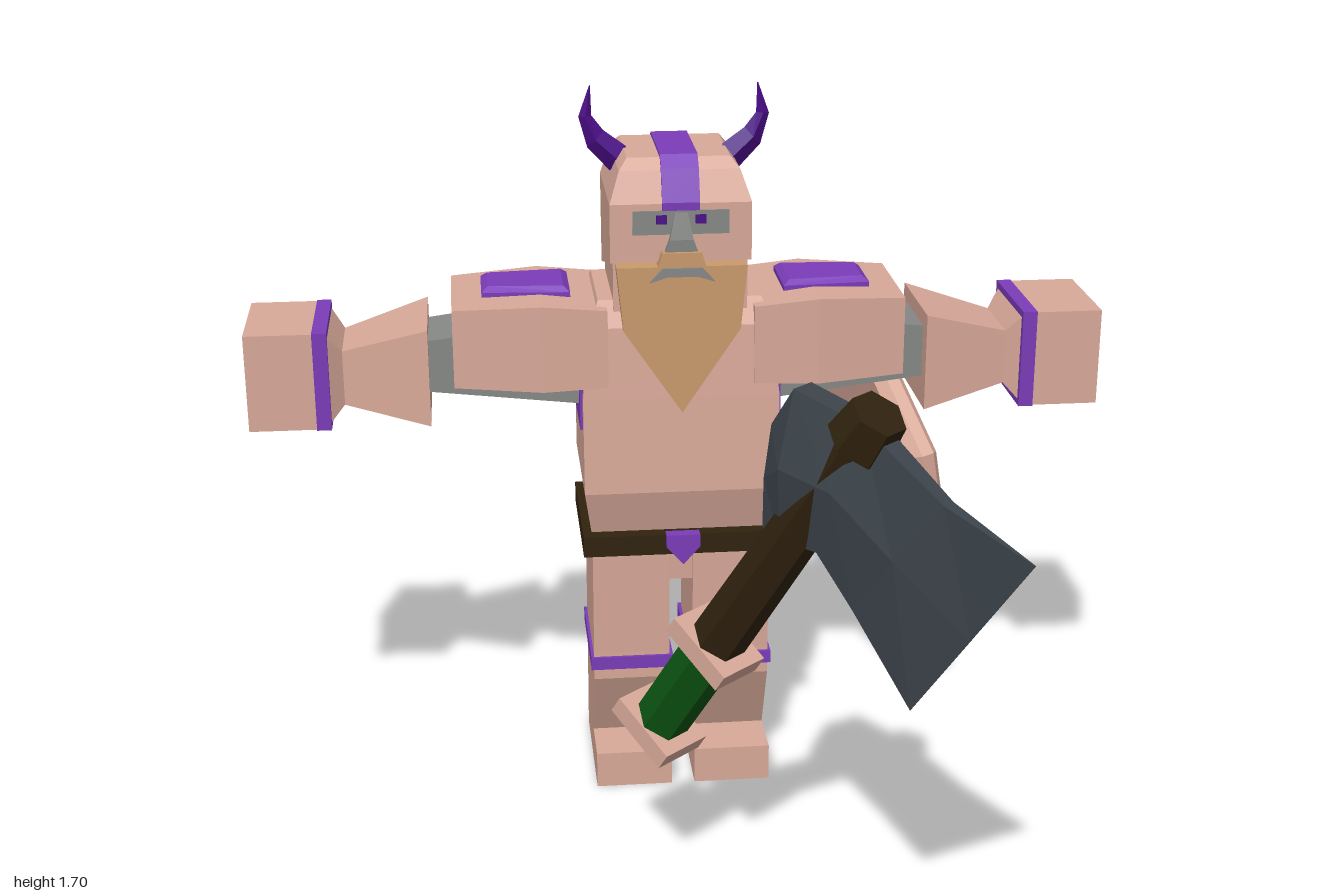
import * as THREE from 'three';

const mat = (name, color) => Object.assign(new THREE.MeshStandardMaterial({ color, flatShading: true }), { name });
const skin = mat('skin', 0xd8a999), purple = mat('purple', 0x7a3cb8), horn = mat('dark purple', 0x4a0d86);
const green = mat('green', 0x228f14), grip = mat('dark green', 0x0c5412), brown = mat('dark brown', 0x30220e);
const steel = mat('dark steel', 0x3c444b), grey = mat('grey', 0x868886), tan = mat('tan', 0xc99a6c);

// Closed solid through matching cross-sections; corners are turned outward by the sign of the volume
function loft(rings) {
  const tris = [], n = rings[0].length;
  for (let r = 0; r < rings.length - 1; r++) {
    const a = rings[r], b = rings[r + 1];
    for (let i = 0; i < n; i++) {
      const j = (i + 1) % n;
      tris.push([a[i], a[j], b[j]], [a[i], b[j], b[i]]);
    }
  }
  const first = rings[0], last = rings[rings.length - 1];
  for (let i = 1; i < n - 1; i++) tris.push([first[0], first[i + 1], first[i]], [last[0], last[i], last[i + 1]]);
  let volume = 0;
  for (const [a, b, c] of tris) {
    volume += a[0] * (b[1] * c[2] - b[2] * c[1]) + a[1] * (b[2] * c[0] - b[0] * c[2]) + a[2] * (b[0] * c[1] - b[1] * c[0]);
  }
  if (volume < 0) tris.forEach((t) => t.reverse());
  const g = new THREE.BufferGeometry();
  g.setAttribute('position', new THREE.Float32BufferAttribute(tris.flat(2), 3));
  g.computeVertexNormals();
  return g;
}
// Rectangle across y: half width, front z, back z, with an optional different y at the back
const slab = (y, w, zf, zb, yb = y) => [[w, y, zf], [w, yb, zb], [-w, yb, zb], [-w, y, zf]];
// Rectangle across x
const slice = (x, y0, y1, zf, zb) => [[x, y0, zf], [x, y0, zb], [x, y1, zb], [x, y1, zf]];
const outline = (pts) => new THREE.Shape(pts.map(([x, y]) => new THREE.Vector2(x, y)));
const plate = (pts, depth) => new THREE.ExtrudeGeometry(outline(pts), { depth, bevelEnabled: false });
// Side profile in (z, y), extruded along x from x0 to x1
const sideProfile = (pts, x0, x1) =>
  plate(pts.map(([z, y]) => [-z, y]), x1 - x0).rotateY(Math.PI / 2).translate(x0, 0, 0);

function add(parent, name, geometry, material, x = 0, y = 0, z = 0) {
  const m = new THREE.Mesh(geometry, material);
  m.name = name;
  m.position.set(x, y, z);
  parent.add(m);
  return m;
}
function group(parent, name) {
  const g = new THREE.Group();
  g.name = name;
  parent.add(g);
  return g;
}
const box = (w, h, d) => new THREE.BoxGeometry(w, h, d);

function buildBody(root) {
  const g = group(root, 'body');
  add(g, 'torso', loft([
    slab(0.63, 0.21, -0.22, -0.51), slab(0.77, 0.23, -0.178, -0.53), slab(1.0, 0.23, -0.19, -0.53),
    slab(1.17, 0.21, -0.2, -0.53), slab(1.23, 0.19, -0.23, -0.49)]), skin);
  add(g, 'hips', loft([slab(0.53, 0.2, -0.215, -0.495), slab(0.63, 0.205, -0.21, -0.505)]), skin);
  add(g, 'belt', box(0.47, 0.05, 0.37), brown, 0, 0.637, -0.36);
  add(g, 'buckle', plate([[-0.04, 0.67], [-0.04, 0.64], [0, 0.595], [0.04, 0.64], [0.04, 0.67]], 0.03), purple, 0, 0, -0.18);
}

function buildLeg(root, s) {
  const g = group(root, s > 0 ? 'leftLeg' : 'rightLeg');
  const x0 = s > 0 ? 0.028 : -0.213, x1 = x0 + 0.185;
  add(g, 'legAndFoot', sideProfile([
    [-0.165, 0], [-0.165, 0.09], [-0.3, 0.09], [-0.215, 0.27], [-0.215, 0.34], [-0.205, 0.61],
    [-0.505, 0.61], [-0.495, 0.3], [-0.52, 0]], x0, x1), skin);
  add(g, 'kneeBand', box(0.2, 0.032, 0.305), purple, s * 0.12, 0.314, -0.36);
}

function buildArm(root, s) {
  const g = group(root, s > 0 ? 'leftArm' : 'rightArm');
  add(g, 'upperArm', loft([
    slice(s * 0.2, 0.97, 1.18, -0.25, -0.47), slice(s * 0.6, 1.01, 1.13, -0.27, -0.46)]), grey);
  add(g, 'shoulderGuard', loft([
    slice(s * 0.17, 1.03, 1.215, -0.19, -0.535), slice(s * 0.32, 1.025, 1.23, -0.185, -0.535),
    slice(s * 0.525, 1.035, 1.22, -0.21, -0.507)]), skin);
  const pad = (y, k) => [[s * (0.25 + k), y, -0.285 - k], [s * (0.455 - k), y, -0.3 - k],
    [s * (0.455 - k), y, -0.445 + k], [s * (0.25 + k), y, -0.46 + k]];
  add(g, 'shoulderPad', loft([pad(1.2, 0), pad(1.235, 0), pad(1.247, 0.015)]), purple);
  add(g, 'armpitTrim', box(0.008, 0.12, 0.26), purple, s * 0.232, 0.98, -0.345);
  add(g, 'cuff', loft([
    slice(s * 0.582, 0.938, 1.17, -0.225, -0.505), slice(s * 0.78, 0.985, 1.115, -0.265, -0.45),
    slice(s * 0.82, 0.943, 1.167, -0.23, -0.49)]), skin);
  add(g, 'wristBand', box(0.034, 0.234, 0.274), purple, s * 0.828, 1.055, -0.36);
  add(g, 'fist', box(0.158, 0.23, 0.27), skin, s * 0.921, 1.055, -0.36);
}

function buildHead(root) {
  const g = group(root, 'head');
  add(g, 'face', box(0.31, 0.16, 0.275), skin, 0, 1.26, -0.355);
  add(g, 'helmet', loft([
    slab(1.325, 0.162, -0.2, -0.51, 1.245), slab(1.46, 0.162, -0.2, -0.522),
    slab(1.53, 0.138, -0.23, -0.515), slab(1.555, 0.118, -0.255, -0.49)]), skin);
  // Raised band over the crown
  add(g, 'crest', sideProfile([
    [-0.194, 1.445], [-0.194, 1.463], [-0.224, 1.535], [-0.252, 1.562], [-0.493, 1.562], [-0.522, 1.533],
    [-0.53, 1.46], [-0.518, 1.25], [-0.48, 1.25], [-0.48, 1.5], [-0.3, 1.5], [-0.25, 1.445]], -0.043, 0.043), purple);
  add(g, 'eyeSlot', box(0.22, 0.055, 0.008), grey, 0, 1.417, -0.2);
  add(g, 'noseGuard', loft([
    slab(1.345, 0.04, -0.182, -0.21), slab(1.38, 0.027, -0.18, -0.21), slab(1.44, 0.015, -0.192, -0.21)]), grey);
  for (const s of [-1, 1]) add(g, 'eye', box(0.024, 0.02, 0.008), horn, s * 0.045, 1.425, -0.194);
  add(g, 'beard', plate([
    [-0.15, 1.32], [-0.135, 1.17], [0, 0.97], [0.135, 1.17], [0.15, 1.32],
    [0.055, 1.32], [0.045, 1.352], [-0.045, 1.352], [-0.055, 1.32]], 0.09), tan, 0, 0, -0.262);
  add(g, 'moustache', plate([
    [-0.075, 1.285], [-0.045, 1.318], [0.045, 1.318], [0.075, 1.285], [0.035, 1.298], [-0.035, 1.298]], 0.012),
  grey, 0, 0, -0.176);
  // Curved horns: centre x and y, half thickness, and the way the section leans
  const path = [[0.13, 1.53, 0.034, 0.6], [0.182, 1.577, 0.027, 0.75], [0.205, 1.63, 0.015, 1.5], [0.193, 1.7, 0.001, 1.8]];
  for (const s of [-1, 1]) {
    add(g, s > 0 ? 'leftHorn' : 'rightHorn', loft(path.map(([x, y, r, t]) => {
      const dx = Math.sin(t) * r, dy = -Math.cos(t) * r, w = r * 0.75;
      return [[s * (x + dx), y + dy, -0.36], [s * x, y, -0.36 + w], [s * (x - dx), y - dy, -0.36], [s * x, y, -0.36 - w]];
    })), horn);
  }
}

function buildShield(root) {
  const g = group(root, 'shield');
  const octagon = (r, c) => [[r, -c], [r, c], [c, r], [-c, r], [-r, c], [-r, -c], [-c, -r], [c, -r]];
  const diamond = (r) => [[r, 0], [0, r], [-r, 0], [0, -r]];
  const ring = (r, c, z) => octagon(r, c).map(([x, y]) => [x, y, z]);
  add(g, 'shieldBack', loft([ring(0.375, 0.085, -0.035), ring(0.4, 0.09, -0.01), ring(0.4, 0.09, 0.015)]), skin);
  const rim = outline(octagon(0.375, 0.08));
  rim.holes.push(new THREE.Path(diamond(0.315).map(([x, y]) => new THREE.Vector2(x, y))));
  add(g, 'shieldRim', new THREE.ExtrudeGeometry(rim, {
    depth: 0.012, bevelThickness: 0.016, bevelSize: 0.02, bevelOffset: 0, bevelSegments: 1 }), skin, 0, 0, 0.01);
  add(g, 'shieldRing', plate(diamond(0.325), 0.008), green, 0, 0, 0.015);
  add(g, 'shieldBoss', loft([
    diamond(0.2).map(([x, y]) => [x, y, 0.02]), diamond(0.195).map(([x, y]) => [x, y, 0.04]),
    diamond(0.11).map(([x, y]) => [x, y, 0.07])]), skin);
  add(g, 'shieldStud', plate(octagon(0.09, 0.025), 0.009), purple, 0, 0, 0.067);
  // Face outward, slightly up and back
  const ez = new THREE.Vector3(1, 0.18, -0.27).normalize();
  const ey = new THREE.Vector3(0, 1, 0).addScaledVector(ez, -ez.y).normalize();
  g.quaternion.setFromRotationMatrix(new THREE.Matrix4().makeBasis(ey.clone().cross(ez), ey, ez));
  g.position.set(0.5, 0.737, -0.6);
}

function buildAxe(root) {
  const g = group(root, 'axe');
  g.position.set(-0.1, 0, 0.29);
  g.rotation.y = -0.835;
  // Leaning haft, built upright from the pommel
  const shaft = group(g, 'haft');
  shaft.position.y = 0.405;
  shaft.rotation.z = -0.59;
  const rod = (r0, r1, h) => new THREE.CylinderGeometry(r1, r0, h, 6);
  add(shaft, 'grip', rod(0.062, 0.062, 0.3), grip, 0, 0.15, 0);
  add(shaft, 'shaft', rod(0.062, 0.052, 0.72), brown, 0, 0.65, 0);
  add(shaft, 'endKnob', rod(0.07, 0.06, 0.085), brown, 0, 1.0, 0);
  for (const y of [0, 0.295]) add(shaft, 'collar', box(0.17, 0.045, 0.13), skin, 0, y, 0);
  // Blade sections: top point, bottom point, half thickness
  const sections = [
    [0.32, 1.19, 0.3, 0.96, 0.02], [0.39, 1.285, 0.36, 0.955, 0.055], [0.56, 1.25, 0.455, 0.955, 0.055],
    [0.75, 1.13, 0.54, 0.85, 0.03], [0.95, 1.06, 0.68, 0.67, 0.002]];
  add(g, 'axeBlade', loft(sections.map(([u0, y0, u1, y1, w]) => {
    const um = (u0 + u1) / 2, ym = (y0 + y1) / 2, e = w * 0.5;
    return [[u0, y0, e], [um, ym, w], [u1, y1, e], [u1, y1, -e], [um, ym, -w], [u0, y0, -e]];
  })), steel);
}

export function createModel() {
  const root = new THREE.Group();
  root.name = 'armouredWarrior';
  buildBody(root);
  buildHead(root);
  for (const s of [-1, 1]) {
    buildLeg(root, s);
    buildArm(root, s);
  }
  buildShield(root);
  buildAxe(root);
  return root;
}
